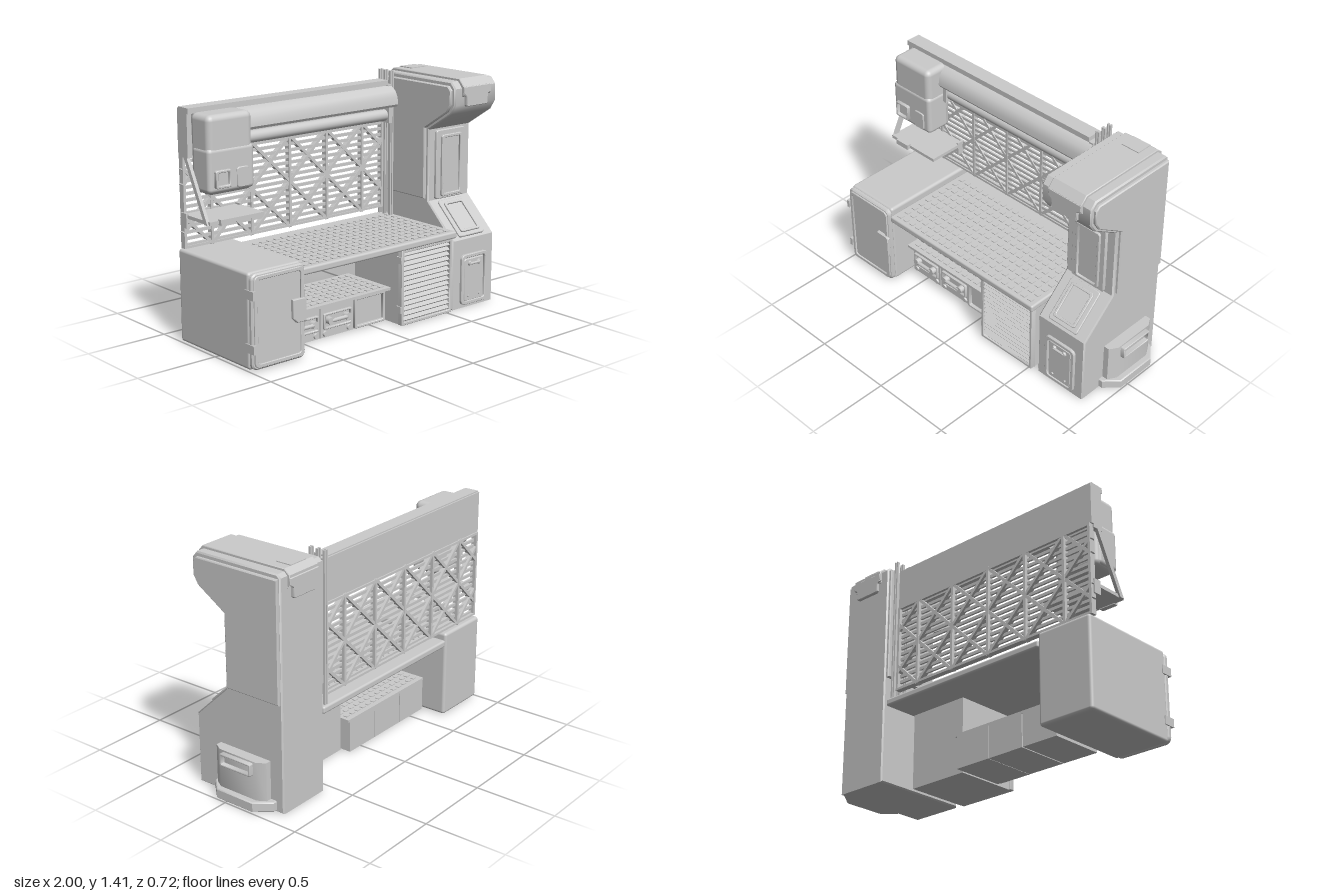
import * as THREE from 'three';
import { RoundedBoxGeometry } from 'three/addons/geometries/RoundedBoxGeometry.js';
import { mergeGeometries, toCreasedNormals } from 'three/addons/utils/BufferGeometryUtils.js';

const mat = new THREE.MeshStandardMaterial({ color: 0xcccccc });

// Box given by its extents, optionally rounded
function boxGeo(x0, x1, y0, y1, z0, z1, r = 0) {
  const w = x1 - x0, h = y1 - y0, d = z1 - z0;
  const g = r ? new RoundedBoxGeometry(w, h, d, 3, r) : new THREE.BoxGeometry(w, h, d);
  return g.translate((x0 + x1) / 2, (y0 + y1) / 2, (z0 + z1) / 2);
}

function add(parent, name, geo) {
  const m = new THREE.Mesh(geo, mat);
  m.name = name;
  parent.add(m);
  return m;
}
const box = (p, name, ...e) => add(p, name, boxGeo(...e));
const poly = pts => new THREE.Shape(pts.map(p => new THREE.Vector2(p[0], p[1])));

function extrude(shape, depth, bevel = 0) {
  const g = new THREE.ExtrudeGeometry(shape, {
    depth: depth - 2 * bevel, bevelEnabled: bevel > 0, bevelThickness: bevel,
    bevelSize: bevel, bevelOffset: -bevel, bevelSegments: 1, curveSegments: 6,
  });
  return toCreasedNormals(g.translate(0, 0, bevel), 0.6);
}

// Side profile of [z, y] points swept from x0 to x1
const sweepX = (pts, x0, x1, bevel = 0) =>
  extrude(poly(pts), x1 - x0, bevel).rotateY(-Math.PI / 2).translate(x1, 0, 0);

function rounded(x0, x1, y0, y1, r, Type = THREE.Shape) {
  const s = new Type();
  const P = Math.PI / 2;
  s.absarc(x1 - r, y0 + r, r, -P, 0);
  s.absarc(x1 - r, y1 - r, r, 0, P);
  s.absarc(x0 + r, y1 - r, r, P, 2 * P);
  s.absarc(x0 + r, y0 + r, r, 2 * P, 3 * P);
  s.closePath();
  return s;
}

// Front-facing rounded plate, and a frame of border width t
const plate = (x0, x1, y0, y1, z0, z1, r = 0.015, b = 0.004) =>
  extrude(rounded(x0, x1, y0, y1, r), z1 - z0, b).translate(0, 0, z0);
function frame(x0, x1, y0, y1, z0, z1, t, r = 0.015) {
  const s = rounded(x0, x1, y0, y1, r);
  s.holes.push(rounded(x0 + t, x1 - t, y0 + t, y1 - t, r * 0.6, THREE.Path));
  return extrude(s, z1 - z0, 0.003).translate(0, 0, z0);
}

// Flat bar between two points in a plane of constant z
function bar(ax, ay, bx, by, w, z0, z1) {
  const g = new THREE.BoxGeometry(Math.hypot(bx - ax, by - ay), w, z1 - z0);
  return g.rotateZ(Math.atan2(by - ay, bx - ax)).translate((ax + bx) / 2, (ay + by) / 2, (z0 + z1) / 2);
}

// Grid of small raised pads on a level surface
function pads(x0, x1, z0, z1, nx, nz, y, h) {
  const list = [], dx = (x1 - x0) / nx, dz = (z1 - z0) / nz;
  for (let i = 0; i < nx; i++) for (let j = 0; j < nz; j++) {
    const x = x0 + (i + 0.5) * dx, z = z0 + (j + 0.5) * dz;
    list.push(boxGeo(x - dx * 0.3, x + dx * 0.3, y, y + h, z - dz * 0.25, z + dz * 0.25));
  }
  return mergeGeometries(list);
}

function screw(x, y, z, r = 0.014) {
  return new THREE.CylinderGeometry(r * 0.8, r, 0.012, 12).rotateX(Math.PI / 2).translate(x, y, z);
}

function tower() {
  const g = new THREE.Group();
  g.name = 'tower';
  add(g, 'towerBody', sweepX([[-0.34, 0], [0.28, 0], [0.28, 0.43], [0.06, 0.64], [0.06, 1.08], [0.24, 1.195],
    [0.275, 1.25], [0.275, 1.35], [0.24, 1.39], [-0.32, 1.39], [-0.34, 1.37]], 0.555, 0.9, 0.008));
  // Side skins
  const skin = [[-0.33, 0.655], [0.04, 0.655], [0.04, 1.09], [0.225, 1.21], [0.255, 1.26], [0.255, 1.34],
    [0.23, 1.365], [-0.33, 1.365]];
  add(g, 'sidePanel', sweepX(skin, 0.89, 0.918, 0.006));
  add(g, 'sidePanel', sweepX(skin, 0.537, 0.565, 0.006));
  // Band over the head with hanging tabs front and back
  add(g, 'headBand', sweepX([[-0.345, 1.31], [-0.345, 1.3], [0.28, 1.3], [0.29, 1.31], [0.29, 1.36], [0.25, 1.405],
    [-0.32, 1.405], [-0.355, 1.375], [-0.355, 1.31]], 0.612, 0.843, 0.004));
  const tab = poly([[0.645, 1.24], [0.805, 1.24], [0.815, 1.25], [0.815, 1.3], [0.843, 1.32], [0.843, 1.36],
    [0.612, 1.36], [0.612, 1.32], [0.635, 1.3], [0.635, 1.25]]);
  add(g, 'headTab', extrude(tab, 0.03, 0.004).translate(0, 0, 0.263));
  add(g, 'headTab', extrude(tab, 0.03, 0.004).translate(0, 0, -0.36));
  box(g, 'topLatch', 0.67, 0.79, 1.4, 1.41, -0.32, -0.22);
  // Upper front panel
  add(g, 'upperPanel', plate(0.605, 0.843, 0.645, 1.07, 0.05, 0.078));
  add(g, 'upperPanelFrame', frame(0.64, 0.81, 0.66, 1.04, 0.07, 0.092, 0.018));
  // Panel on the sloping face, built flat then tilted
  const slope = new THREE.Group();
  slope.name = 'slopePanel';
  add(slope, 'slopePlate', plate(-0.105, 0.105, -0.135, 0.135, -0.005, 0.012));
  add(slope, 'slopeFrame', frame(-0.08, 0.08, -0.11, 0.11, 0.01, 0.024, 0.016));
  slope.position.set(0.724, 0.535, 0.17);
  slope.rotation.x = -Math.atan2(0.22, 0.21);
  g.add(slope);
  // Lower hatch with handle and screws
  add(g, 'hatchFrame', frame(0.618, 0.838, 0.02, 0.335, 0.275, 0.297, 0.022, 0.03));
  add(g, 'hatch', plate(0.645, 0.81, 0.04, 0.305, 0.275, 0.291));
  add(g, 'hatchHandle', new THREE.CapsuleGeometry(0.008, 0.07, 4, 10).rotateZ(Math.PI / 2).translate(0.727, 0.275, 0.3));
  for (const x of [0.69, 0.765]) {
    add(g, 'hatchHandleEnd', screw(x, 0.275, 0.296, 0.016));
    add(g, 'hatchScrew', screw(x + (x < 0.72 ? -0.01 : 0.01), 0.07, 0.293, 0.008));
  }
  // Side unit on its chamfered foot
  const foot = poly([[0.89, -0.14], [0.925, -0.14], [1, -0.06], [1, 0.2], [0.925, 0.29], [0.89, 0.29]]);
  add(g, 'sideFoot', extrude(foot, 0.06, 0.006).rotateX(-Math.PI / 2).translate(0, 0.008, 0));
  const unit = poly([[0.89, -0.11], [0.935, -0.11], [0.965, -0.06], [0.965, 0.2], [0.935, 0.25], [0.89, 0.25]]);
  add(g, 'sideUnit', extrude(unit, 0.24).rotateX(-Math.PI / 2).translate(0, 0.06, 0));
  add(g, 'sideHandle', frame(-0.04, 0.18, 0.215, 0.29, 0, 0.035, 0.012, 0.008).rotateY(Math.PI / 2).translate(0.958, 0, 0));
  return g;
}

function backWall() {
  const g = new THREE.Group();
  g.name = 'backWall';
  // Top beam with a rounded lamp hood
  box(g, 'beamBack', -1, 0.49, 1.1, 1.35, -0.3, -0.255);
  const cap = poly([[-1, 0.2], [0.44, 0.2], [0.49, 0.225], [0.49, 0.3], [-1, 0.3]]);
  add(g, 'beamCap', extrude(cap, 0.03, 0.003).rotateX(-Math.PI / 2).scale(1, 1, -1).rotateZ(Math.PI)
    .scale(-1, 1, 1).translate(0, 1.355, 0).scale(1, 1, -1)).visible = false;
  box(g, 'beamTop', -1, 0.46, 1.325, 1.357, -0.29, -0.2);
  box(g, 'beamEnd', 0.46, 0.49, 1.3, 1.33, -0.29, -0.2);
  g.remove(g.getObjectByName('beamCap'));
  add(g, 'lampHood', sweepX([[-0.26, 1.2], [-0.15, 1.2], [-0.14, 1.215], [-0.145, 1.26], [-0.165, 1.295],
    [-0.2, 1.32], [-0.26, 1.325]], -0.95, 0.488));
  add(g, 'lampTube', new THREE.CylinderGeometry(0.035, 0.035, 1.07, 20).rotateZ(Math.PI / 2).translate(-0.1, 1.15, -0.195));
  for (const x of [-0.645, 0.425]) box(g, 'lampEnd', x, x + 0.025, 1.105, 1.2, -0.26, -0.15);
  // Slatted lattice screen
  const x0 = -0.99, x1 = 0.49, y0 = 0.555, y1 = 1.1, H = y1 - y0, slats = [], lat = [];
  for (let i = 0; i < 15; i++) {
    const y = y0 + 0.018 + i * 0.0365;
    slats.push(boxGeo(x0, x1, y - 0.009, y + 0.009, -0.292, -0.28));
  }
  add(g, 'screenSlats', mergeGeometries(slats));
  for (let i = -3; i < 7; i++) {
    const s = -1.08 + i * 0.28, run = 0.56, a = Math.max(s, x0), b = Math.min(s + run, x1);
    if (b - a < 0.05) continue;
    const ya = y0 + (a - s) / run * H, yb = y0 + (b - s) / run * H;
    lat.push(bar(a, ya, b, yb, 0.018, -0.307, -0.275), bar(a, y0 + y1 - ya, b, y0 + y1 - yb, 0.018, -0.307, -0.275));
  }
  for (const x of [-0.983, -0.8, -0.52, -0.24, 0.04, 0.32, 0.483]) lat.push(boxGeo(x - 0.008, x + 0.008, y0, y1, -0.309, -0.273));
  for (const y of [y0, y1 - 0.014]) lat.push(boxGeo(x0, x1, y, y + 0.014, -0.309, -0.273));
  add(g, 'screenLattice', mergeGeometries(lat));
  // Upright rods beside the tower
  for (const z of [-0.315, -0.27, -0.22]) for (const x of [0.497, 0.513])
    box(g, 'rod', x - 0.005, x + 0.005, 0.51, 1.41, z - 0.008, z + 0.008);
  // Control box
  box(g, 'controlBox', -0.97, -0.67, 0.89, 1.33, -0.23, -0.055, 0.035);
  box(g, 'controlBoxBand', -0.975, -0.665, 0.9, 1.15, -0.21, -0.05, 0.025);
  add(g, 'controlScreenFrame', frame(-0.94, -0.835, 0.93, 1.03, -0.055, -0.03, 0.014, 0.01));
  add(g, 'controlKeypad', plate(-0.79, -0.71, 0.915, 1.03, -0.055, -0.042));
  // Small shelf with slanted braces
  box(g, 'shelf', -0.99, -0.62, 0.735, 0.755, -0.28, -0.03);
  box(g, 'shelfLip', -0.93, -0.83, 0.73, 0.762, -0.04, -0.01);
  for (const x of [-0.995, -0.63]) {
    box(g, 'shelfBracket', x - 0.005, x + 0.01, 0.68, 0.765, -0.29, -0.24);
  }
  add(g, 'shelfBrace', sweepX([[-0.27, 1.12], [-0.07, 0.735], [-0.04, 0.735], [-0.24, 1.12]], -1, -0.98));
  box(g, 'beamFoot', -1, -0.97, 1.08, 1.34, -0.28, -0.21);
  return g;
}

function bench() {
  const g = new THREE.Group();
  g.name = 'bench';
  // Worktop
  box(g, 'worktop', -0.635, 0.543, 0.465, 0.508, -0.335, 0.325, 0.012);
  add(g, 'worktopPads', pads(-0.61, 0.52, -0.26, 0.31, 22, 10, 0.505, 0.008));
  // Left cabinet
  box(g, 'leftCabinet', -0.995, -0.635, 0.005, 0.548, -0.335, 0.31, 0.018);
  add(g, 'cabinetDoor', plate(-0.995, -0.632, 0.008, 0.545, 0.305, 0.338, 0.035, 0.008));
  add(g, 'cabinetDoorFrame', frame(-0.982, -0.645, 0.02, 0.532, 0.33, 0.347, 0.022, 0.03));
  add(g, 'doorLatch', extrude(poly([[-0.635, 0.22], [-0.7, 0.22], [-0.73, 0.25], [-0.73, 0.355], [-0.65, 0.355],
    [-0.635, 0.34]].reverse()), 0.022, 0.004).translate(0, 0, 0.334));
  for (const y of [0.13, 0.43]) box(g, 'doorHinge', -1, -0.98, y - 0.025, y + 0.025, 0.28, 0.356);
  // Louvred cabinet
  box(g, 'louvreCabinet', 0.125, 0.523, 0.005, 0.466, -0.12, 0.275);
  add(g, 'louvreFrame', frame(0.118, 0.525, 0.005, 0.463, 0.27, 0.305, 0.018, 0.006));
  for (let i = 0; i < 14; i++) {
    const m = box(g, 'louvre', -0.188, 0.188, -0.004, 0.004, -0.016, 0.016);
    m.position.set(0.322, 0.04 + i * 0.0302, 0.286);
    m.rotation.x = 0.6;
  }
  for (const y of [0.1, 0.4]) box(g, 'louvreHinge', 0.112, 0.13, y - 0.02, y + 0.02, 0.26, 0.3);
  // Low drawers under a padded tray
  box(g, 'tray', -0.63, 0.125, 0.2, 0.216, -0.18, 0.2);
  add(g, 'trayPads', pads(-0.61, 0.11, -0.16, 0.18, 14, 7, 0.215, 0.006));
  for (const [a, b] of [[-0.622, -0.385], [-0.378, -0.133]]) {
    const c = (a + b) / 2;
    box(g, 'drawer', a, b, 0.005, 0.2, -0.18, 0.16);
    add(g, 'drawerFrame', frame(c - 0.105, c + 0.105, 0.055, 0.15, 0.155, 0.175, 0.012, 0.008));
    add(g, 'drawerHandle', new THREE.CapsuleGeometry(0.012, 0.1, 4, 10).rotateZ(Math.PI / 2).translate(c, 0.105, 0.185));
    for (const s of [-1, 1]) {
      add(g, 'handleEnd', new THREE.CylinderGeometry(0.022, 0.022, 0.035, 16).rotateX(Math.PI / 2)
        .translate(c + s * 0.065, 0.105, 0.175));
      add(g, 'drawerBolt', screw(c + s * 0.09, 0.028, 0.164, 0.018));
    }
  }
  box(g, 'drawer', -0.13, 0.11, 0.005, 0.2, -0.18, 0.155);
  add(g, 'drawerFrame', frame(-0.13, 0.105, 0.01, 0.197, 0.15, 0.175, 0.016, 0.01));
  return g;
}

export function createModel() {
  const model = new THREE.Group();
  model.name = 'workbench';
  model.add(tower(), backWall(), bench());
  return model;
}
